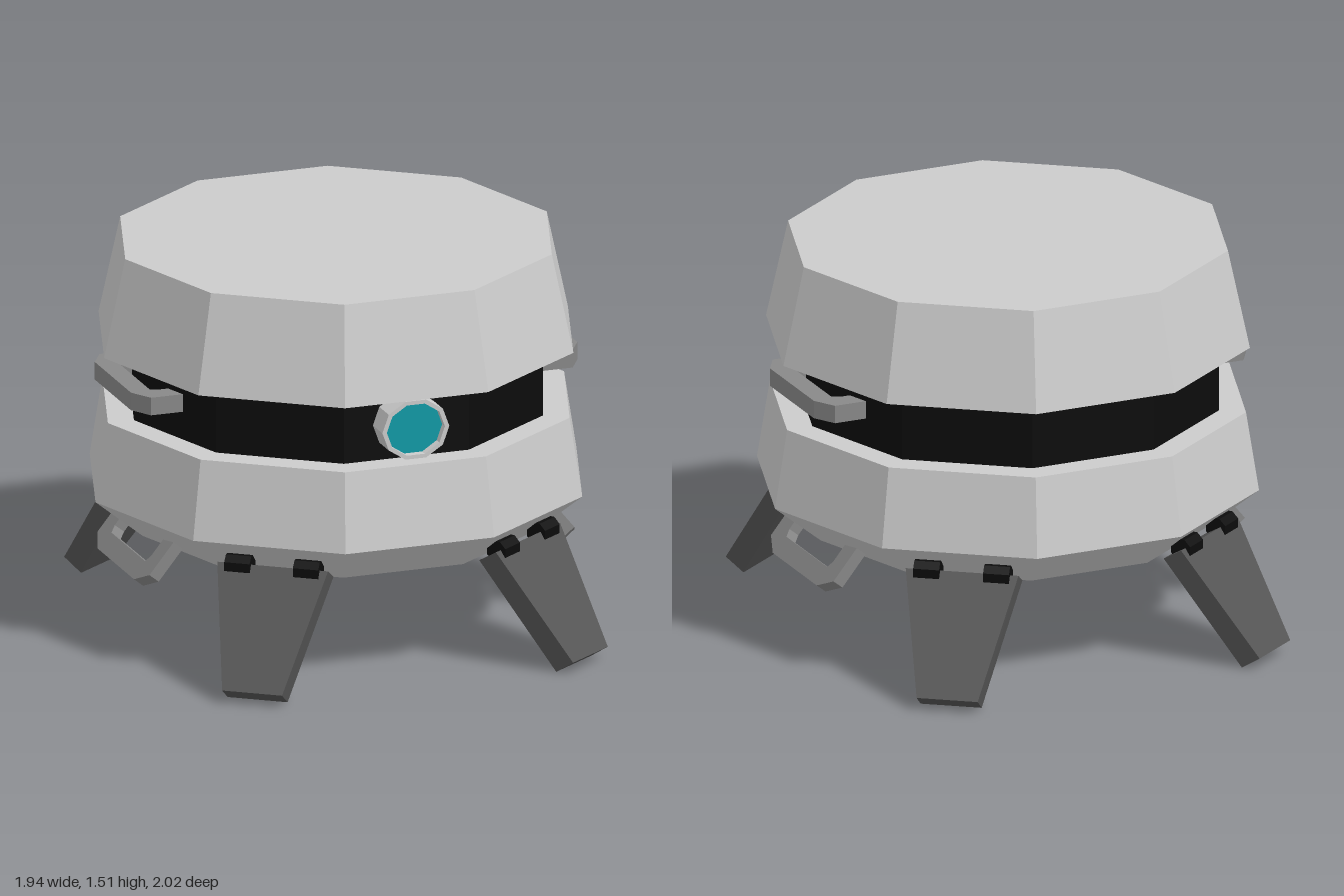
import * as THREE from 'three';
import { ConvexGeometry } from 'three/addons/geometries/ConvexGeometry.js';

const SIDES = 10;
const mat = (color, flatShading = true) => new THREE.MeshStandardMaterial({ color, flatShading });
const shellMat = mat(0xcccccc);
const blackMat = mat(0x0c0c0c);
const legMat = mat(0x555555);
const handleMat = mat(0x888888);
const lensMat = mat(0x109aa6);

function add(parent, name, geometry, material) {
  const mesh = new THREE.Mesh(geometry, material);
  mesh.name = name;
  parent.add(mesh);
  return mesh;
}

// Ten-sided drum with a corner on the x axis
function drum(rTop, yTop, rBottom, yBottom, open = false) {
  return new THREE.CylinderGeometry(rTop, rBottom, yTop - yBottom, SIDES, 1, open)
    .rotateY(Math.PI / 2)
    .translate(0, (yTop + yBottom) / 2, 0);
}

// Ten-sided outline of the lens, a little wider than tall
function ringPoints(rx, ry) {
  return Array.from({ length: SIDES }, (_, i) => {
    const a = (i / SIDES) * Math.PI * 2;
    return new THREE.Vector2(Math.cos(a) * rx, Math.sin(a) * ry);
  });
}

// U-shaped grip with chamfered corners, reaching out along +z from its root
function handleGeometry(reach, thickness, root) {
  const outer = 0.285, inner = 0.2, bar = reach - 0.08;
  const half = [[outer, -root], [outer, reach - 0.05], [inner, reach]];
  const hole = [[-0.185, bar], [-inner, bar - 0.03], [-inner, -root]];
  const mirror = (pts) => pts.map(([x, y]) => [-x, y]).reverse();
  const pts = [...half, ...mirror(half), ...mirror(hole).map(([x, y]) => [-x, y]), ...mirror(hole).reverse()];
  const shape = new THREE.Shape(pts.map(([x, y]) => new THREE.Vector2(x, y)));
  return new THREE.ExtrudeGeometry(shape, { depth: thickness, bevelEnabled: false })
    .translate(0, 0, -thickness / 2)
    .rotateX(Math.PI / 2);
}

// Tapered slab splayed outwards along +z, its foot cut square to the slope
function legGeometry() {
  const corners = [];
  for (const s of [-1, 1]) {
    corners.push(
      new THREE.Vector3(s * 0.218, 0.465, 0.876),
      new THREE.Vector3(s * 0.218, 0.42, 0.8),
      new THREE.Vector3(s * 0.118, 0.05, 1.161),
      new THREE.Vector3(s * 0.118, 0, 1.084),
    );
  }
  return new ConvexGeometry(corners);
}

export function createModel() {
  const model = new THREE.Group();
  model.name = 'leggedDrum';

  // Body shells with the dark band between them
  add(model, 'upperShell', drum(0.85, 1.51, 0.935, 1.125), shellMat);
  add(model, 'darkBand', drum(0.815, 1.13, 0.815, 0.86), blackMat);
  add(model, 'lowerShell', drum(0.92, 0.865, 0.97, 0.555), shellMat);
  add(model, 'underside', drum(0.97, 0.555, 0.78, 0.4), mat(0xcccccc, false));

  // Front lens: rim and recessed glass
  const lens = new THREE.Group();
  lens.name = 'lens';
  const rim = new THREE.Shape(ringPoints(0.135, 0.121));
  rim.holes.push(new THREE.Path(ringPoints(0.117, 0.105).reverse()));
  add(lens, 'lensRim', new THREE.ExtrudeGeometry(rim, { depth: 0.12, bevelEnabled: false }), shellMat);
  const glass = new THREE.ShapeGeometry(new THREE.Shape(ringPoints(0.118, 0.106)));
  add(lens, 'lensGlass', glass, lensMat).position.z = 0.09;
  lens.position.set(0, 1.005, 0.76);
  model.add(lens);

  // Level and drooping handles on both sides
  const levelHandle = handleGeometry(0.17, 0.07, 0.02);
  const droopHandle = handleGeometry(0.19, 0.048, 0.02);
  for (const side of [-1, 1]) {
    const handles = new THREE.Group();
    handles.name = side > 0 ? 'leftHandles' : 'rightHandles';
    handles.rotation.y = (side * Math.PI) / 2;
    add(handles, 'sideHandle', levelHandle, handleMat).position.set(0, 1.01, 0.73);
    const lower = add(handles, 'lowerHandle', droopHandle, handleMat);
    lower.position.set(0, 0.433, 0.75);
    lower.rotation.x = 0.89;
    model.add(handles);
  }

  // Four legs, each square to a face of the body, with two hinges
  const leg = legGeometry();
  const hinge = new THREE.CylinderGeometry(0.045, 0.045, 0.1, 8)
    .rotateY(Math.PI / 8)
    .rotateZ(Math.PI / 2);
  for (const sx of [-1, 1]) {
    for (const sz of [-1, 1]) {
      const group = new THREE.Group();
      group.name = (sz > 0 ? 'front' : 'back') + (sx > 0 ? 'Left' : 'Right') + 'Leg';
      group.rotation.y = Math.atan2(sx * Math.sin(Math.PI / 5), sz * Math.cos(Math.PI / 5));
      add(group, 'leg', leg, legMat);
      for (const s of [-1, 1]) add(group, 'hinge', hinge, blackMat).position.set(s * 0.135, 0.455, 0.855);
      model.add(group);
    }
  }
  return model;
}
